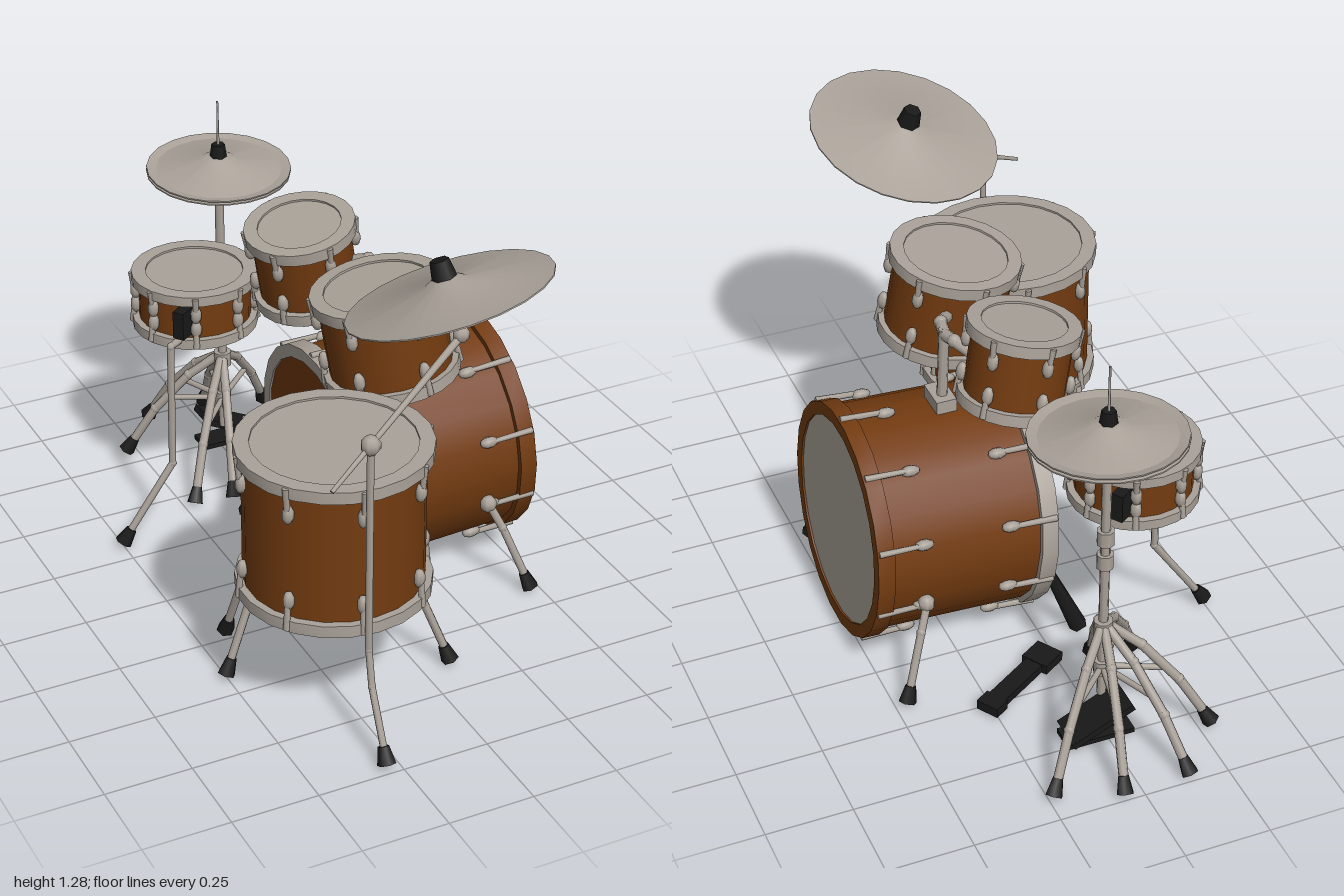
import * as THREE from 'three';
import { toCreasedNormals } from 'three/addons/utils/BufferGeometryUtils.js';

const metal = new THREE.MeshStandardMaterial({ color: 0xaaa299 });
metal.name = 'warm grey';
const wood = new THREE.MeshStandardMaterial({ color: 0x733b10 });
wood.name = 'brown wood';
const rubber = new THREE.MeshStandardMaterial({ color: 0x191919 });
rubber.name = 'black rubber';

const UP = new THREE.Vector3(0, 1, 0);
const V = (p) => new THREE.Vector3(...p);

function add(parent, name, geo, mat, pos = [0, 0, 0]) {
  const m = new THREE.Mesh(geo, mat);
  m.name = name;
  m.position.set(...pos);
  parent.add(m);
  return m;
}

function group(parent, name, pos = [0, 0, 0], axis = [0, 1, 0]) {
  const g = new THREE.Group();
  g.name = name;
  g.position.set(...pos);
  g.quaternion.setFromUnitVectors(UP, V(axis).normalize());
  parent.add(g);
  return g;
}

const lathe = (pts, n = 20, crease = 0.6) =>
  toCreasedNormals(new THREE.LatheGeometry(pts.map(([x, y]) => new THREE.Vector2(x, y)), n), crease);

// Tapered bar between two points
function bar(parent, name, a, b, r0, r1 = r0, mat = metal, sides = 7) {
  const A = V(a), B = V(b), d = B.clone().sub(A);
  const m = add(parent, name, new THREE.CylinderGeometry(r1, r0, d.length(), sides), mat,
    A.clone().add(B).multiplyScalar(0.5).toArray());
  m.quaternion.setFromUnitVectors(UP, d.normalize());
  return m;
}

// Bent tube with ball joints, optionally ending in a rubber foot
function rod(parent, name, pts, r, foot = false) {
  const g = group(parent, name);
  for (let i = 0; i < pts.length - 1; i++) {
    bar(g, name + 'Tube', pts[i], pts[i + 1], r);
    if (i) add(g, name + 'Joint', new THREE.SphereGeometry(r * 1.15, 7, 5), metal, pts[i]);
  }
  if (foot) {
    const end = V(pts[pts.length - 1]), prev = V(pts[pts.length - 2]);
    const dir = end.clone().sub(prev).normalize();
    const a = end.clone().addScaledVector(dir, -0.045), b = end.clone().addScaledVector(dir, 0.005);
    bar(g, name + 'Foot', a.toArray(), b.toArray(), 0.016, 0.026, rubber, 6);
  }
  return g;
}

// Shell, two hoops, two heads and a ring of lugs, built along local y
function drum(parent, name, o) {
  const g = group(parent, name, o.pos, o.axis);
  const { r, hoopR, h, lugs, hoopH = 0.035, lugLen = 0.09 } = o;
  const y = h / 2 - hoopH / 2;
  add(g, 'shell', new THREE.CylinderGeometry(r, r, h - hoopH, 22, 1, true), wood);
  const inner = r - 0.022;
  const hoop = lathe([[inner, -hoopH / 2], [hoopR, -hoopH / 2], [hoopR, hoopH / 2],
    [inner, hoopH / 2], [inner, -hoopH / 2]], 22);
  for (const s of [1, -1]) {
    const top = s > 0;
    add(g, top ? 'topHoop' : 'bottomHoop', hoop, (top && o.topHoop) || metal, [0, s * y, 0]);
    add(g, top ? 'topHead' : 'bottomHead', new THREE.CylinderGeometry(r - 0.01, r - 0.01, 0.008, 22),
      (!top && o.bottomHead) || metal, [0, s * (h / 2 - 0.01), 0]);
    for (let i = 0; i < lugs; i++) {
      const a = ((i + (o.turn || 0)) / lugs) * Math.PI * 2;
      const c = Math.cos(a), n = Math.sin(a);
      const at = (rad, yy) => [c * rad, s * yy, n * rad];
      bar(g, 'tensionRod', at(hoopR - 0.002, h / 2 - 0.005), at(r + 0.012, h / 2 - lugLen), 0.01, 0.008, metal, 6);
      const lug = add(g, 'lug', new THREE.SphereGeometry(0.017, 7, 5), metal, at(r + 0.008, h / 2 - lugLen));
      lug.scale.set(1, 1.7, 1);
    }
  }
  return g;
}

function cymbal(parent, name, pos, axis, R, flip = 1) {
  const g = group(parent, name, pos, axis);
  const pts = [[0, 0.018], [0.04, 0.014], [0.06, 0.004], [R, -0.025], [R, -0.021], [0.06, 0.01], [0.04, 0.022], [0, 0.026]];
  const disc = add(g, 'disc', lathe(pts, 22), metal);
  if (flip < 0) disc.rotation.x = Math.PI;
  return g;
}

function bassDrum(root) {
  const g = group(root, 'bassDrumSet');
  drum(g, 'bassDrum', { pos: [0.245, 0.362, 0], axis: [1, 0.05, 0], r: 0.328, hoopR: 0.345, h: 0.54,
    lugs: 10, hoopH: 0.05, lugLen: 0.14, topHoop: wood, bottomHead: wood });
  for (const s of [1, -1]) {
    // Front spurs and rear black struts
    add(g, 'spurBracket', new THREE.SphereGeometry(0.026, 7, 5), metal, [0.37, 0.27, s * 0.325]);
    rod(g, 'spur', [[0.37, 0.27, s * 0.33], [0.4, 0.2, s * 0.36], [0.465, 0.015, s * 0.415]], 0.012, true);
    bar(g, 'rearStrut', [-0.11, 0.015, s * 0.3], [-0.03, 0.21, s * 0.27], 0.028, 0.016, rubber, 5);
  }
  // Tom mount
  add(g, 'mountPlate', new THREE.BoxGeometry(0.06, 0.04, 0.1), metal, [0.19, 0.705, 0.01]);
  bar(g, 'mountPost', [0.19, 0.69, 0], [0.18, 0.94, 0], 0.016);
  for (const s of [1, -1])
    rod(g, 'mountArm', [[0.18, 0.925, 0], [0.17, 0.93, s * 0.05], [0.12, 0.9, s * 0.12]], 0.018);
  // Foot pedal lying beside the drum
  const pedal = group(g, 'footPedal', [0.14, 0.02, -0.455]);
  pedal.rotation.y = 0.56;
  add(pedal, 'pedalPlate', new THREE.BoxGeometry(0.25, 0.025, 0.055), rubber);
  add(pedal, 'pedalHeel', new THREE.BoxGeometry(0.08, 0.03, 0.085), rubber, [-0.11, 0, 0]);
  add(pedal, 'pedalToe', new THREE.BoxGeometry(0.05, 0.03, 0.07), rubber, [0.135, 0, 0]);
}

function floorTom(root) {
  const g = group(root, 'floorTomSet');
  drum(g, 'floorTom', { pos: [-0.25, 0.562, 0.58], r: 0.247, hoopR: 0.268, h: 0.445, lugs: 8, turn: 0.2 });
  rod(g, 'leg', [[-0.01, 0.42, 0.57], [0, 0.3, 0.57], [0.02, 0.2, 0.59], [0.085, 0.015, 0.63]], 0.012, true);
  rod(g, 'leg', [[-0.4, 0.36, 0.4], [-0.41, 0.24, 0.4], [-0.5, 0.015, 0.42]], 0.012, true);
  rod(g, 'leg', [[-0.39, 0.36, 0.36], [-0.4, 0.24, 0.32], [-0.415, 0.015, 0.225]], 0.012, true);
  // Tall leg that carries the cymbal boom
  rod(g, 'cymbalPole', [[-0.285, 0.93, 0.857], [-0.285, 0.3, 0.857], [-0.287, 0.2, 0.88], [-0.29, 0.015, 0.975]], 0.01, true);
  add(g, 'boomClamp', new THREE.SphereGeometry(0.028, 7, 5), metal, [-0.285, 0.925, 0.857]);
  bar(g, 'boomArm', [-0.42, 0.853, 0.91], [0.04, 1.095, 0.725], 0.006, 0.011);
  add(g, 'boomJoint', new THREE.SphereGeometry(0.024, 7, 5), metal, [0.04, 1.1, 0.725]);
  bar(g, 'boomTip', [0.04, 1.1, 0.725], [0.037, 1.21, 0.65], 0.013);
  const c = cymbal(g, 'crashCymbal', [0.04, 1.2, 0.645], [-0.2, 1, -0.28], 0.283);
  add(c, 'topNut', new THREE.CylinderGeometry(0.026, 0.034, 0.05, 6), rubber, [0, 0.05, 0]);
  add(c, 'underNut', new THREE.CylinderGeometry(0.032, 0.024, 0.035, 6), rubber, [0, -0.005, 0]);
}

function snare(root) {
  const g = group(root, 'snareSet');
  drum(g, 'snareDrum', { pos: [-0.185, 0.698, -0.475], r: 0.165, hoopR: 0.185, h: 0.17, lugs: 8, turn: 0.5,
    hoopH: 0.03, lugLen: 0.062 });
  for (const s of [1, -1]) {
    const box = add(g, 'strainer', new THREE.BoxGeometry(0.06, 0.085, 0.035), rubber,
      [-0.185 + s * 0.1, 0.7, -0.475 - s * 0.147]);
    box.rotation.y = 0.6;
  }
  rod(g, 'snareLeg', [[-0.29, 0.64, -0.34], [-0.335, 0.64, -0.31], [-0.34, 0.25, -0.31], [-0.5, 0.015, -0.32]], 0.011, true);
}

function hiHat(root) {
  const g = group(root, 'hiHatStand');
  const X = -0.01, Z = -0.68;
  bar(g, 'pole', [X, 0.1, Z], [X, 0.95, Z], 0.014);
  bar(g, 'topRod', [X, 0.95, Z], [X, 1.2, Z], 0.005, 0.003);
  for (const [y, r] of [[0.65, 0.025], [0.57, 0.024], [0.34, 0.028], [0.2, 0.026]])
    add(g, 'collar', new THREE.CylinderGeometry(r, r, 0.045, 8), metal, [X, y, Z]);
  cymbal(g, 'topCymbal', [X, 1.0, Z], [0, 1, 0.06], 0.215);
  cymbal(g, 'bottomCymbal', [X, 0.965, Z], [0, 1, 0.06], 0.215, -1);
  add(g, 'clutch', new THREE.CylinderGeometry(0.02, 0.026, 0.045, 6), rubber, [X, 1.04, Z]);
  add(g, 'seat', new THREE.CylinderGeometry(0.024, 0.02, 0.035, 6), rubber, [X, 0.93, Z]);
  // Braced legs fanning out to rubber feet
  const feet = [[-0.285, -0.81], [-0.14, -0.98], [0.055, -0.985], [0.235, -0.92], [-0.22, -0.43], [-0.1, -0.41]];
  for (const [fx, fz] of feet) {
    const at = (t, y) => [X + (fx - X) * t, y, Z + (fz - Z) * t];
    rod(g, 'standLeg', [at(0.06, 0.345), at(0.35, 0.28), at(0.7, 0.16), at(1, 0.015)], 0.014, true);
    bar(g, 'legBrace', at(0.05, 0.2), at(0.6, 0.2), 0.009);
  }
  // Sloping pedal
  const p = add(g, 'hiHatPedal', new THREE.BoxGeometry(0.2, 0.02, 0.11), rubber, [0.03, 0.075, -0.735]);
  p.rotation.z = -0.45;
  add(g, 'pedalBase', new THREE.BoxGeometry(0.2, 0.015, 0.08), rubber, [0.03, 0.02, -0.735]);
}

export function createModel() {
  const root = new THREE.Group();
  root.name = 'drumKit';
  bassDrum(root);
  drum(root, 'largeRackTom', { pos: [0.065, 0.878, 0.258], axis: [-0.15, 1, -0.08], r: 0.172, hoopR: 0.19,
    h: 0.275, lugs: 6, turn: 0.4, lugLen: 0.075 });
  drum(root, 'smallRackTom', { pos: [0.03, 0.905, -0.175], axis: [-0.18, 1, 0.07], r: 0.142, hoopR: 0.16,
    h: 0.245, lugs: 6, turn: 0.4, lugLen: 0.07 });
  floorTom(root);
  snare(root);
  hiHat(root);
  return root;
}
